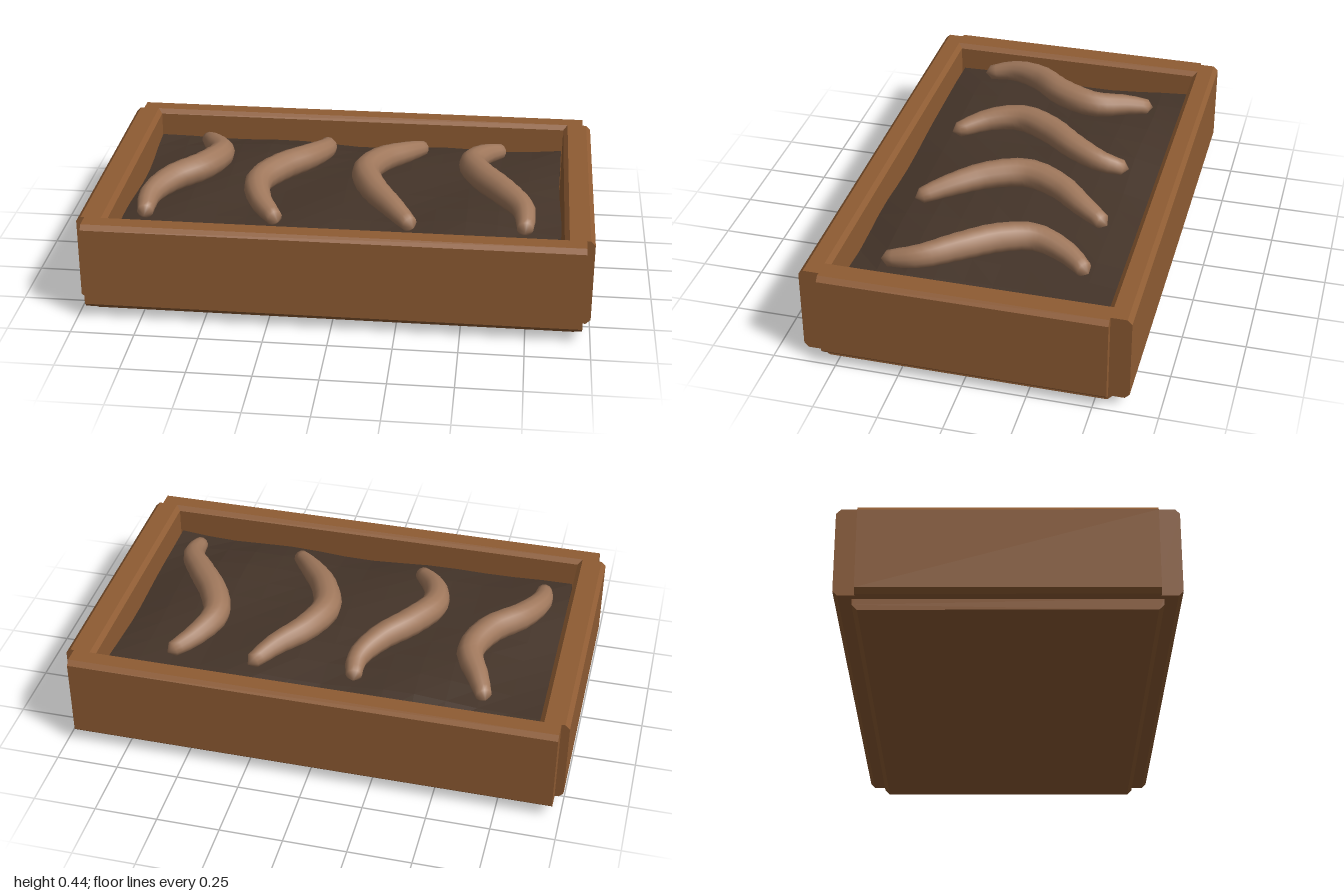
import * as THREE from 'three';
import { mergeVertices } from 'three/addons/utils/BufferGeometryUtils.js';

const wood = new THREE.MeshStandardMaterial({ color: 0x8f5c33, flatShading: true });
const soilMat = new THREE.MeshStandardMaterial({ color: 0x443429, flatShading: true });
const wormMat = new THREE.MeshStandardMaterial({ color: 0xa0785c });

// Plank with a chamfered cross-section, lying along x
function plank(name, length, height, depth, c = 0.018) {
  const w = depth / 2, h = height / 2;
  const shape = new THREE.Shape([
    [-w + c, -h], [w - c, -h], [w, -h + c], [w, h - c],
    [w - c, h], [-w + c, h], [-w, h - c], [-w, -h + c],
  ].map(([x, y]) => new THREE.Vector2(x, y)));
  const geo = new THREE.ExtrudeGeometry(shape, { depth: length, bevelEnabled: false });
  geo.translate(0, 0, -length / 2).rotateY(Math.PI / 2);
  const mesh = new THREE.Mesh(geo, wood);
  mesh.name = name;
  return mesh;
}

// Gently domed, uneven height of the soil
function soilHeight(x, z) {
  const dome = (1 - (x / 0.875) ** 4) * (1 - (z / 0.52) ** 4);
  return 0.28 + 0.04 * dome + 0.014 * Math.sin(x * 7 + 1) * Math.cos(z * 6 + x * 3);
}

function soil() {
  const geo = new THREE.BoxGeometry(1.75, 0.25, 1.04, 14, 1, 9);
  const p = geo.attributes.position;
  for (let i = 0; i < p.count; i++) {
    const x = p.getX(i), z = p.getZ(i);
    const top = p.getY(i) > 0;
    p.setY(i, top ? soilHeight(x, z) : 0.05);
    if (top) { // slightly ragged rim
      p.setX(i, x * (1 + 0.005 * Math.sin(z * 9)));
      p.setZ(i, z * (1 + 0.008 * Math.sin(x * 8)));
    }
  }
  geo.computeVertexNormals();
  const mesh = new THREE.Mesh(geo, soilMat);
  mesh.name = 'soil';
  return mesh;
}

// Tapered, faintly ringed tube with blunt ends, arched over the soil
function worm(points) {
  const curve = new THREE.CatmullRomCurve3(
    points.map(([x, z]) => new THREE.Vector3(x, 0.382 - 0.25 * z ** 2 - 0.3 * z ** 4, z)));
  const rings = 32, sides = 12;
  const geo = new THREE.TubeGeometry(curve, rings, 1, sides);
  const p = geo.attributes.position, v = new THREE.Vector3();
  for (let i = 0; i <= rings; i++) {
    const t = i / rings, centre = curve.getPointAt(t);
    const body = 0.026 + 0.033 * Math.sin(Math.PI * t) ** 0.7;
    const end = Math.min(1, Math.min(t, 1 - t) / 0.035);
    const ripple = i % 2 ? 1 : 0.975;
    const r = body * ripple * Math.sqrt(1 - (1 - end) ** 2);
    for (let j = 0; j <= sides; j++) {
      const k = i * (sides + 1) + j;
      v.fromBufferAttribute(p, k).sub(centre).multiplyScalar(r).add(centre);
      p.setXYZ(k, v.x, v.y, v.z);
    }
  }
  geo.deleteAttribute('uv');
  geo.deleteAttribute('normal');
  const smooth = mergeVertices(geo, 1e-5);
  smooth.computeVertexNormals();
  const mesh = new THREE.Mesh(smooth, wormMat);
  mesh.name = 'worm';
  return mesh;
}

export function createModel() {
  const model = new THREE.Group();
  model.name = 'wormTray';

  // Base board
  const base = plank('base', 1.88, 0.065, 1.13, 0.02);
  base.position.y = 0.0325;
  model.add(base);

  // Four walls
  for (const s of [1, -1]) {
    const long = plank(s > 0 ? 'frontWall' : 'backWall', 1.934, 0.357, 0.099);
    long.position.set(0, 0.2215, s * 0.584);
    const short = plank(s > 0 ? 'leftWall' : 'rightWall', 1.106, 0.357, 0.116);
    short.rotation.y = Math.PI / 2;
    short.position.set(s * 0.942, 0.2215, 0);
    model.add(long, short);
  }

  model.add(soil());

  // Worm centre lines as [x, z]
  const paths = [
    [[-0.655, -0.4], [-0.605, -0.29], [-0.55, -0.16], [-0.6, -0.01], [-0.71, 0.12], [-0.77, 0.25], [-0.77, 0.39]],
    [[-0.13, -0.4], [-0.12, -0.29], [-0.18, -0.16], [-0.28, -0.03], [-0.35, 0.11], [-0.33, 0.24], [-0.235, 0.39]],
    [[0.3, -0.4], [0.22, -0.28], [0.125, -0.16], [0.075, -0.02], [0.12, 0.13], [0.205, 0.26], [0.3, 0.39]],
    [[0.635, -0.4], [0.55, -0.29], [0.505, -0.16], [0.55, -0.03], [0.645, 0.11], [0.725, 0.24], [0.735, 0.39]],
  ];
  for (const path of paths) model.add(worm(path));
  return model;
}
